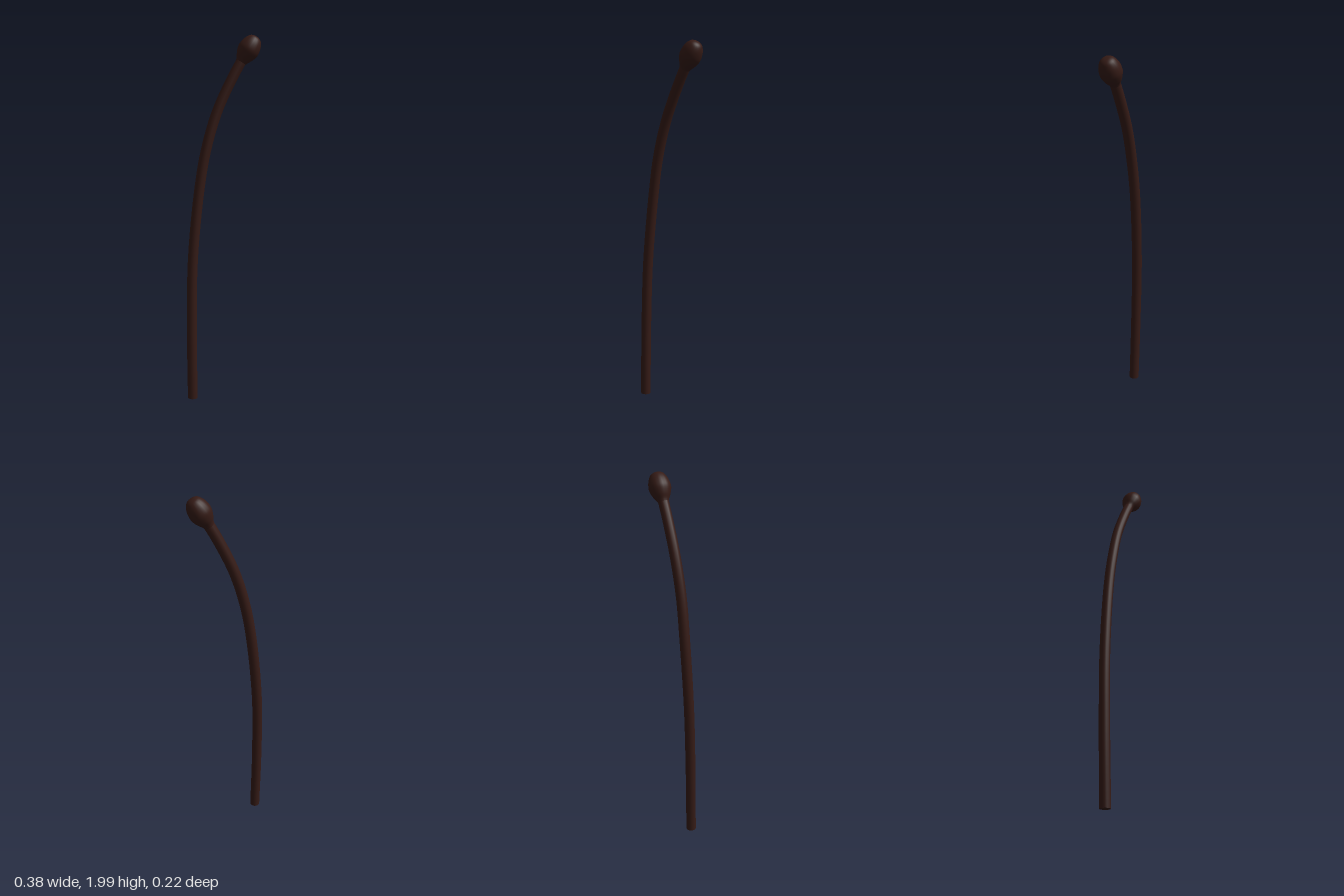
import * as THREE from 'three';

const V = (x, y, z) => new THREE.Vector3(x, y, z);

export function createModel() {
  const group = new THREE.Group();
  const material = new THREE.MeshStandardMaterial({ color: 0x351b16 });
  const add = (name, geometry) => {
    const mesh = new THREE.Mesh(geometry, material);
    mesh.name = name;
    group.add(mesh);
    return mesh;
  };
  const radius = 0.028;

  // Stem: rises straight, then arches to the left and forward
  const path = new THREE.CatmullRomCurve3([
    V(-0.163, 0, -0.072), V(-0.16, 0.4, -0.08), V(-0.147, 0.8, -0.083),
    V(-0.107, 1.2, -0.07), V(-0.075, 1.4, -0.053), V(-0.02, 1.6, -0.027),
    V(0.055, 1.78, 0.012), V(0.097, 1.865, 0.034),
  ]);
  const stemGeometry = new THREE.TubeGeometry(path, 48, radius, 16, false);
  // Keep the cut end flat on the ground
  const p = stemGeometry.attributes.position;
  for (let i = 0; i <= 16; i++) p.setY(i, 0);
  add('stem', stemGeometry);

  // Flat cut underneath the stem
  const cut = add('stemCutEnd', new THREE.CircleGeometry(radius, 16));
  cut.rotation.x = Math.PI / 2;
  cut.position.set(-0.163, 0, -0.072);

  // Bud: swells out of the stem and closes with a blunt rounded tip
  const profile = new THREE.SplineCurve([
    [0.024, -0.02], [0.031, 0.005], [0.045, 0.03], [0.056, 0.06], [0.057, 0.085],
    [0.05, 0.115], [0.036, 0.14], [0.018, 0.151], [0, 0.153],
  ].map(([r, h]) => new THREE.Vector2(r, h))).getPoints(28);
  profile.forEach((q) => { q.x = Math.max(q.x, 0); });
  const bud = add('bud', new THREE.LatheGeometry(profile, 20));
  bud.position.set(0.092, 1.855, 0.031);
  bud.quaternion.setFromUnitVectors(V(0, 1, 0), V(0.075, 0.135, 0.042).normalize());

  return group;
}
